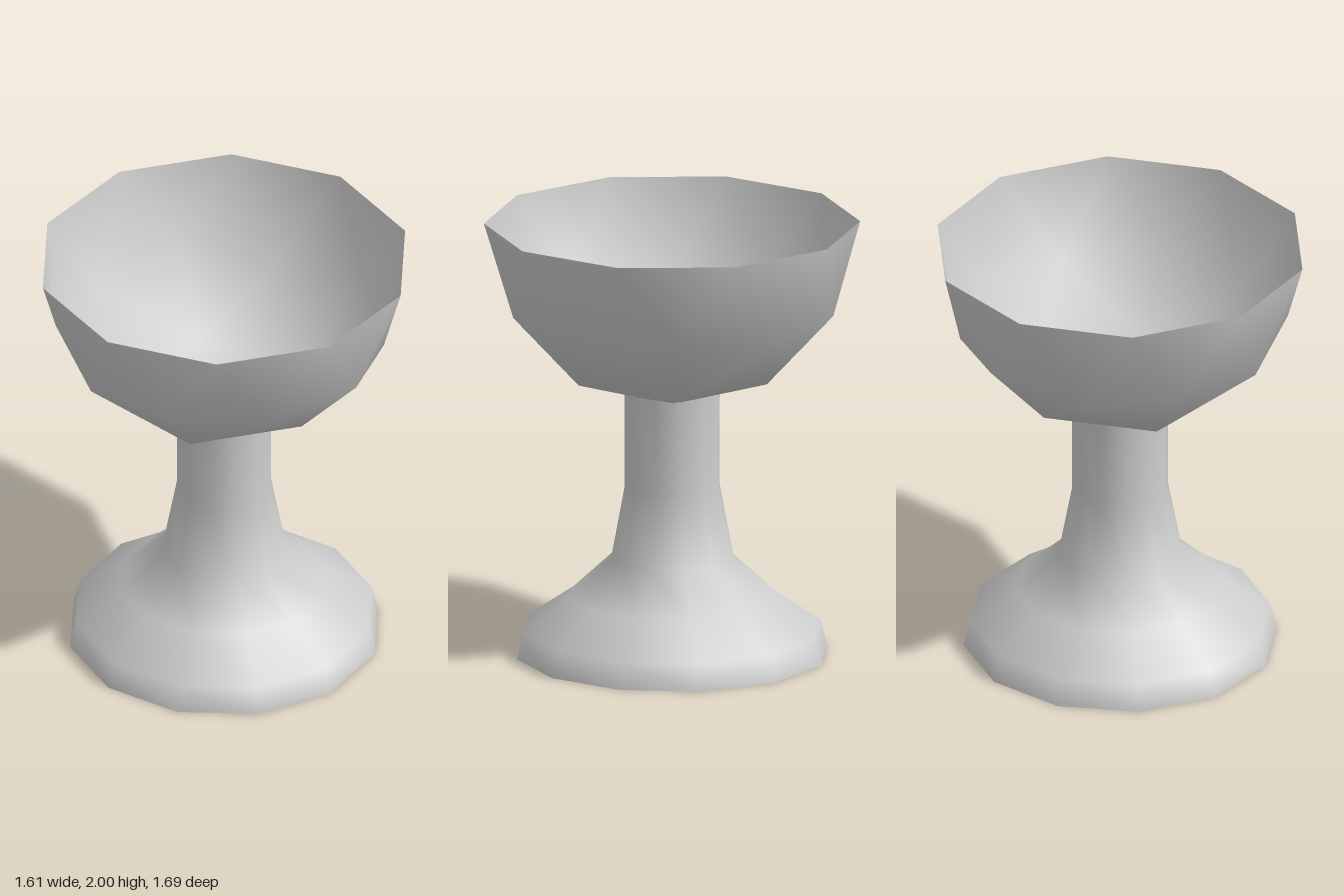
import * as THREE from 'three';

const R = 0.847;      // bowl radius
const RIM_Y = 2;      // height of the bowl's rim and sphere centre

// Lower half of a once-subdivided icosahedral sphere, open at the rim
function bowlGeometry() {
  const pos = [], index = [];
  const add = (angle, latitude) => {
    const a = THREE.MathUtils.degToRad(angle), l = THREE.MathUtils.degToRad(latitude);
    pos.push(R * Math.cos(l) * Math.cos(a), RIM_Y - R * Math.sin(l), R * Math.cos(l) * Math.sin(a));
    return pos.length / 3 - 1;
  };
  const rim = [], mid = [], low = [];
  for (let k = 0; k < 10; k++) {
    rim.push(add(36 * k + 18, 0));
    mid.push(add(36 * k, k % 2 ? 26.57 : 31.72));
    if (k % 2) low[k] = add(36 * k, 58.28);
  }
  const pole = add(0, 90);

  for (let k = 0; k < 10; k++) {
    const next = (k + 1) % 10, prev = (k + 9) % 10, next2 = (k + 2) % 10;
    // upper band
    index.push(mid[k], rim[prev], rim[k], mid[k], rim[k], mid[next]);
    // lower band and bottom
    if (k % 2) {
      index.push(mid[k], mid[next], low[k], mid[prev], mid[k], low[k]);
      index.push(mid[next], low[next2], low[k], pole, low[k], low[next2]);
    }
  }
  const geo = new THREE.BufferGeometry();
  geo.setAttribute('position', new THREE.Float32BufferAttribute(pos, 3));
  geo.setIndex(index);
  geo.computeVertexNormals();
  return geo;
}

// Height of the bowl's five-sided bottom at a point near its axis
function bowlBottom(x, z) {
  let reach = 0;
  for (let k = 0; k < 5; k++) {
    const a = k * Math.PI * 0.4;
    reach = Math.max(reach, x * Math.cos(a) + z * Math.sin(a));
  }
  return RIM_Y - R + 0.351 * reach;
}

export function createModel() {
  const group = new THREE.Group();
  const material = new THREE.MeshStandardMaterial({ color: 0xcccccc });
  const thin = new THREE.MeshStandardMaterial({ color: 0xcccccc, side: THREE.DoubleSide });
  const add = (name, geometry, mat) => {
    const mesh = new THREE.Mesh(geometry, mat);
    mesh.name = name;
    group.add(mesh);
  };

  add('bowl', bowlGeometry(), thin);

  // Flared foot running up into the stem, twelve-sided with a flat side to the front
  const turn = Math.PI / 12;
  const profile = [
    [0.709, 0], [0.681, 0.12], [0.466, 0.27], [0.28, 0.445], [0.217, 0.78], [0.217, 1.222],
  ].map(([r, y]) => new THREE.Vector2(r, y));
  const stem = new THREE.LatheGeometry(profile, 12, turn);
  // The stem's top edge follows the facets of the bowl
  const p = stem.attributes.position;
  for (let i = profile.length - 1; i < p.count; i += profile.length) {
    p.setY(i, bowlBottom(p.getX(i), p.getZ(i)) - 0.002);
  }
  add('stemAndFoot', stem, material);

  // Underside of the foot, hollowed towards its middle
  const underside = new THREE.CircleGeometry(0.709, 12, turn).rotateX(Math.PI / 2);
  underside.attributes.position.setY(0, 0.3);
  underside.computeVertexNormals();
  add('footUnderside', underside, material);

  return group;
}
